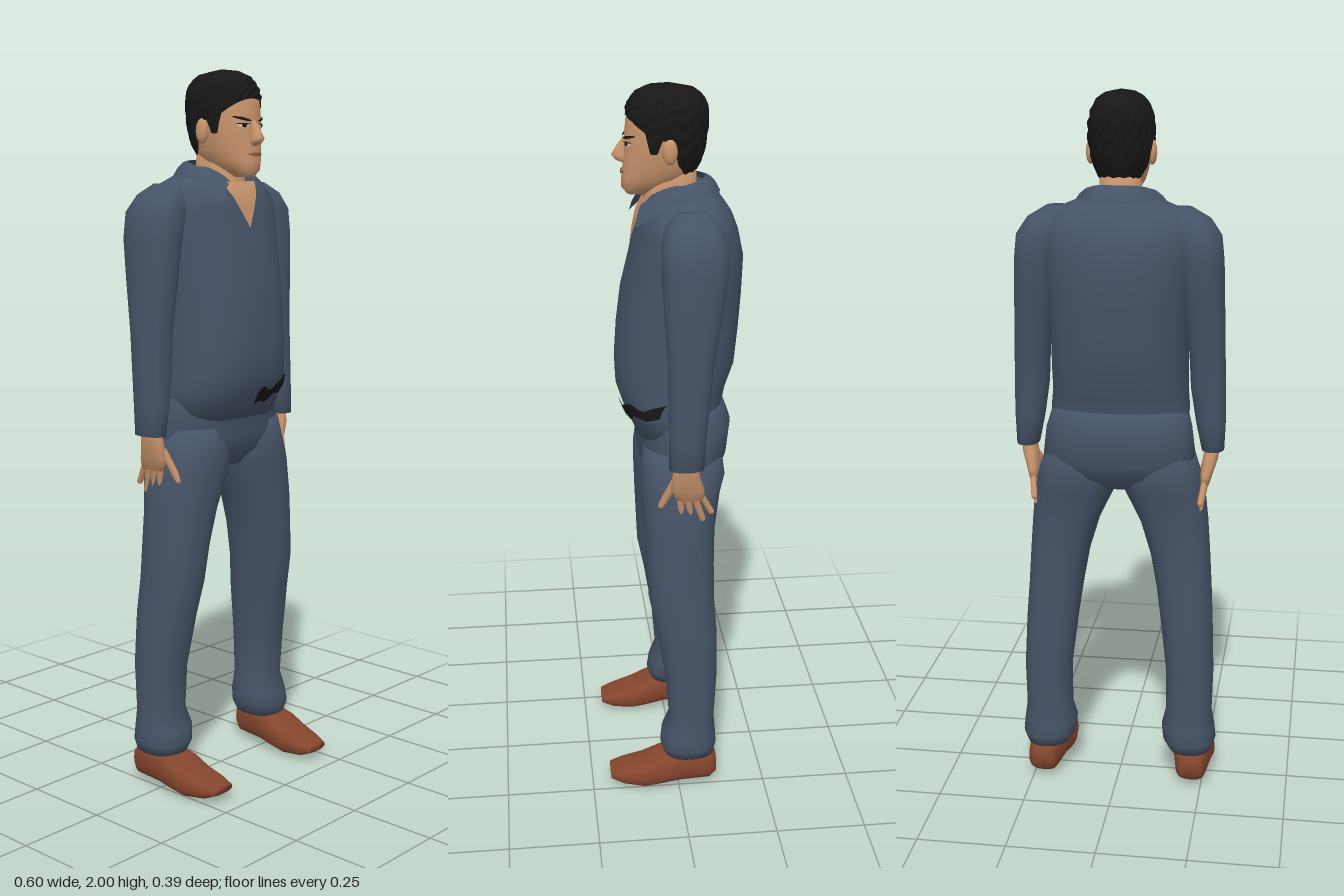
import * as THREE from 'three';

const paint = (name, color) => new THREE.MeshStandardMaterial({ name, color, side: THREE.DoubleSide });

// Smooth sheet of rows x cols points; closed joins the last column to the first.
function grid(rows, cols, closed, fn) {
  const pos = [], idx = [], n = closed ? cols : cols + 1;
  for (let i = 0; i <= rows; i++) for (let j = 0; j < n; j++) pos.push(...fn(i, j));
  for (let i = 0; i < rows; i++) for (let j = 0; j < cols; j++) {
    const k = (j + 1) % n, a = i * n + j, b = i * n + k;
    idx.push(a, a + n, b, a + n, b + n, b);
  }
  const g = new THREE.BufferGeometry();
  g.setAttribute('position', new THREE.Float32BufferAttribute(pos, 3));
  g.setIndex(idx);
  g.computeVertexNormals();
  return g;
}

// A ring is [level, xMin, xMax, bMin, bMax]; outline is a rounded box of power p.
const bend = (c, p) => Math.sign(c) * Math.abs(c) ** (2 / p);
function onRing([, x0, x1, b0, b1], angle, p) {
  return [(x0 + x1) / 2 + (x1 - x0) / 2 * bend(Math.cos(angle), p),
    (b0 + b1) / 2 + (b1 - b0) / 2 * bend(Math.sin(angle), p)];
}
function loft(rings, p = 2.3, cols = 28, alongZ = false) {
  const last = rings.length - 1;
  return grid(last + 2, cols, true, (i, j) => {
    const r = rings[Math.min(Math.max(i - 1, 0), last)];
    let [x, b] = onRing(r, j / cols * Math.PI * 2, p);
    if (i === 0 || i === last + 2) { x = (r[1] + r[2]) / 2; b = (r[3] + r[4]) / 2; }
    return alongZ ? [x, b, r[0]] : [x, r[0], b];
  });
}
const sym = rows => rows.map(([y, r, b, f]) => [y, -r, r, b, f]);
const side = (rows, s) => rows.map(([t, a, b, c, d]) => s > 0 ? [t, a, b, c, d] : [t, -b, -a, c, d]);

// Ring of a lofted shape at any height
function ringAt(rings, y) {
  let i = 0;
  while (i < rings.length - 2 && rings[i + 1][0] < y) i++;
  const t = THREE.MathUtils.clamp((y - rings[i][0]) / (rings[i + 1][0] - rings[i][0]), 0, 1);
  return rings[i].map((v, k) => v + (rings[i + 1][k] - v) * t);
}
// Thin plate following the front of a lofted shape
function plate(rings, p, x0, x1, low, high, lift, cols = 12) {
  return grid(6, cols, false, (i, j) => {
    const u = j / cols, x = x1 + (x0 - x1) * u, w = 1 - u;
    const y = low(w) + (high(w) - low(w)) * i / 6, r = ringAt(rings, y);
    const k = Math.min(Math.abs(x / r[2]), 1);
    return [x, y, (r[3] + r[4]) / 2 + (r[4] - r[3]) / 2 * (1 - k ** p) ** (1 / p) + lift];
  });
}

const TORSO = sym([
  [1.05, 0.19, -0.135, 0.10], [1.13, 0.195, -0.14, 0.135], [1.18, 0.19, -0.15, 0.152],
  [1.25, 0.19, -0.175, 0.155], [1.35, 0.19, -0.185, 0.148], [1.45, 0.195, -0.192, 0.135],
  [1.55, 0.205, -0.195, 0.11], [1.62, 0.21, -0.18, 0.095], [1.66, 0.20, -0.165, 0.085],
  [1.69, 0.17, -0.145, 0.07], [1.715, 0.11, -0.125, 0.055], [1.74, 0.06, -0.10, 0.03]]);
const PELVIS = sym([
  [0.91, 0.09, -0.09, 0.05], [0.95, 0.185, -0.14, 0.085], [1.0, 0.215, -0.155, 0.096],
  [1.08, 0.205, -0.165, 0.10], [1.15, 0.185, -0.14, 0.12]]);
const ARM = [
  [1.02, 0.232, 0.295, -0.065, 0.03], [1.1, 0.215, 0.298, -0.07, 0.03], [1.2, 0.2, 0.297, -0.08, 0.03],
  [1.3, 0.195, 0.294, -0.09, 0.03], [1.45, 0.175, 0.29, -0.115, 0.04], [1.55, 0.16, 0.287, -0.13, 0.045],
  [1.62, 0.14, 0.28, -0.13, 0.045], [1.665, 0.13, 0.25, -0.11, 0.03], [1.695, 0.14, 0.2, -0.08, 0.0]];
const LEG = [
  [0.10, 0.15, 0.275, -0.105, 0.04], [0.13, 0.132, 0.287, -0.112, 0.05], [0.17, 0.128, 0.283, -0.11, 0.045],
  [0.22, 0.14, 0.275, -0.105, 0.025], [0.35, 0.14, 0.278, -0.112, 0.035], [0.5, 0.122, 0.272, -0.112, 0.06],
  [0.6, 0.108, 0.266, -0.105, 0.08], [0.7, 0.09, 0.26, -0.105, 0.085], [0.8, 0.06, 0.253, -0.108, 0.09],
  [0.9, 0.012, 0.243, -0.125, 0.095], [0.95, 0, 0.23, -0.14, 0.095], [1.03, 0.02, 0.205, -0.13, 0.085]];
const SHOE = [
  [0.197, 0.167, 0.245, 0.025, 0.048], [0.16, 0.157, 0.26, 0.008, 0.062], [0.1, 0.152, 0.275, 0, 0.078],
  [0.05, 0.15, 0.28, 0.008, 0.1], [0, 0.16, 0.275, 0.014, 0.115], [-0.09, 0.175, 0.265, 0.015, 0.11],
  [-0.11, 0.19, 0.25, 0.03, 0.09]];
const PALM = [
  [0.92, 0.232, 0.256, -0.07, 0.01], [0.95, 0.23, 0.265, -0.068, 0.022], [0.99, 0.235, 0.278, -0.055, 0.022],
  [1.05, 0.245, 0.285, -0.045, 0.012]];
const HEAD = sym([
  [1.712, 0.022, 0.06, 0.115], [1.73, 0.042, 0.02, 0.13], [1.755, 0.06, -0.055, 0.13],
  [1.785, 0.071, -0.075, 0.126], [1.83, 0.08, -0.085, 0.123], [1.875, 0.083, -0.092, 0.12],
  [1.915, 0.081, -0.095, 0.116], [1.945, 0.073, -0.09, 0.106], [1.97, 0.057, -0.072, 0.085],
  [1.985, 0.032, -0.04, 0.05], [1.988, 0.004, 0.0, 0.01]]);
const NECK = sym([[1.6, 0.04, -0.06, 0.07], [1.66, 0.058, -0.07, 0.08], [1.7, 0.058, -0.072, 0.07], [1.78, 0.056, -0.07, 0.06]]);
const NOSE = sym([
  [1.795, 0.008, 0.11, 0.128], [1.803, 0.018, 0.11, 0.145], [1.815, 0.016, 0.11, 0.156],
  [1.835, 0.011, 0.11, 0.144], [1.862, 0.008, 0.11, 0.125]]);
// Hairline height from back (-1) to front (1)
const HAIRLINE = [[-1, 1.767], [-0.6, 1.77], [-0.3, 1.8], [-0.15, 1.86], [0.12, 1.865], [0.18, 1.825],
  [0.36, 1.83], [0.48, 1.88], [0.8, 1.905], [1, 1.92]];

export function createModel() {
  const model = new THREE.Group();
  model.name = 'standingMan';
  const cloth = paint('slate blue cloth', 0x465367), skin = paint('skin', 0xc8946c);
  const black = paint('black hair and belt', 0x171717), leather = paint('brown leather', 0x84452d);
  const lips = paint('lips', 0x8e5846), white = paint('eye white', 0xc9c0b6);
  const add = (name, geometry, material) => {
    const m = new THREE.Mesh(geometry, material);
    m.name = name;
    model.add(m);
    return m;
  };

  // Body clothing and belt
  add('shirt', loft(TORSO, 2.4, 40), cloth);
  add('trouserSeat', loft(PELVIS, 2.4, 36), cloth);
  const beltLow = u => 1.085 + 0.05 * u + 0.006 * Math.sin(u * 19);
  add('belt', plate(TORSO, 2.4, 0, 0.19, beltLow, u => beltLow(u) + 0.035 + 0.008 * Math.sin(u * 13), 0.008, 24), black);

  // Open neck
  add('neck', loft(NECK), skin);
  add('openChest', plate(TORSO, 2.4, -0.066, 0.066, u => 1.575 + 0.12 * Math.abs(2 * u - 1), () => 1.7, 0.006, 16), skin);

  // Limbs, hands and shoes
  for (const s of [1, -1]) {
    const label = s > 0 ? 'left' : 'right';
    add(label + 'Sleeve', loft(side(ARM, s)), cloth);
    add(label + 'TrouserLeg', loft(side(LEG, s)), cloth);
    add(label + 'Shoe', loft(side(SHOE, s), 2.8, 20, true), leather);
    add(label + 'Palm', loft(side(PALM, s), 2.4, 16), skin);
    const fingers = [ // x, y, z of knuckle and tip, then radius
      [0.244, 0.93, -0.002, 0.232, 0.86, -0.008, 0.010], [0.244, 0.925, -0.022, 0.23, 0.85, -0.036, 0.010],
      [0.244, 0.925, -0.042, 0.232, 0.856, -0.064, 0.010], [0.244, 0.93, -0.06, 0.236, 0.878, -0.088, 0.009],
      [0.243, 0.975, 0.012, 0.22, 0.895, 0.046, 0.011]];
    fingers.forEach(([x, y, z, tx, ty, tz, r], i) => {
      const a = new THREE.Vector3(x * s, y, z), b = new THREE.Vector3(tx * s, ty, tz);
      const f = add(label + (i < 4 ? 'Finger' + (i + 1) : 'Thumb'), new THREE.CapsuleGeometry(r, a.distanceTo(b), 3, 8), skin);
      f.position.copy(a).lerp(b, 0.5);
      f.quaternion.setFromUnitVectors(new THREE.Vector3(0, 1, 0), b.sub(a).normalize());
    });

    // Half of the collar, from nape to front point
    const edge = pts => new THREE.CatmullRomCurve3(pts.map(([x, y, z]) => new THREE.Vector3(x * s, y, z)));
    const top = edge([[0, 1.757, -0.095], [0.05, 1.755, -0.08], [0.078, 1.742, -0.02], [0.073, 1.725, 0.035], [0.056, 1.695, 0.082]]);
    const low = edge([[0, 1.715, -0.135], [0.075, 1.71, -0.115], [0.128, 1.7, -0.02], [0.13, 1.68, 0.045], [0.098, 1.642, 0.102]]);
    add(label + 'Collar', grid(3, 14, false, (i, j) => {
      const u = s > 0 ? j / 14 : 1 - j / 14, q = low.getPoint(u).lerp(top.getPoint(u), i / 3);
      return [q.x, q.y + 0.012 * Math.sin(i / 3 * Math.PI), q.z];
    }), cloth);

    // Ears, brows and eyes
    const ear = add(label + 'Ear', new THREE.SphereGeometry(1, 12, 8), skin);
    ear.scale.set(0.013, 0.034, 0.02);
    ear.position.set(0.084 * s, 1.835, 0.008);
    const mark = (name, x0, x1, y0, y1, h, lift, mat) => {
      const mid = w => s > 0 ? y0 + (y1 - y0) * w : y1 + (y0 - y1) * w;
      const half = w => h * Math.sin(Math.PI * (0.1 + 0.8 * w));
      add(label + name, plate(HEAD, 2.2, s > 0 ? x0 : -x1, s > 0 ? x1 : -x0,
        w => mid(w) - half(w), w => mid(w) + half(w), lift, 8), mat);
    };
    mark('Brow', 0.014, 0.06, 1.861, 1.872, 0.004, 0.005, black);
    mark('EyeWhite', 0.02, 0.05, 1.848, 1.849, 0.005, 0.003, white);
    mark('Iris', 0.029, 0.041, 1.848, 1.849, 0.005, 0.005, black);
    mark('EyeLid', 0.018, 0.053, 1.853, 1.854, 0.0018, 0.005, black);
  }

  // Head and face
  add('head', loft(HEAD, 2.2, 36), skin);
  add('nose', loft(NOSE, 2, 14), skin);
  add('mouth', plate(HEAD, 2.2, -0.027, 0.027, u => 1.771 - 0.004 * Math.sin(Math.PI * u),
    u => 1.774 + 0.004 * Math.sin(Math.PI * u), 0.004), lips);

  // Short swept hair over the skull
  add('hair', grid(14, 72, true, (i, j) => {
    const a = j / 72 * Math.PI * 2, f = Math.sin(a), v = i / 14;
    let k = 0;
    while (k < HAIRLINE.length - 2 && HAIRLINE[k + 1][0] < f) k++;
    const [f0, y0] = HAIRLINE[k], [f1, y1] = HAIRLINE[k + 1];
    const base = y0 + (y1 - y0) * (f - f0) / (f1 - f0), y = base + (1.988 - base) * v ** 0.8;
    const [x, z] = onRing(ringAt(HEAD, y), a, 2.2);
    const puff = (0.007 + 0.003 * Math.sin(a * 17 + i * 2.1)) * Math.min(1, 0.4 + v * 4) * (1 - v ** 6);
    return [x + Math.cos(a) * puff, y + 0.012 * v, z + f * puff];
  }), black);

  return model;
}
